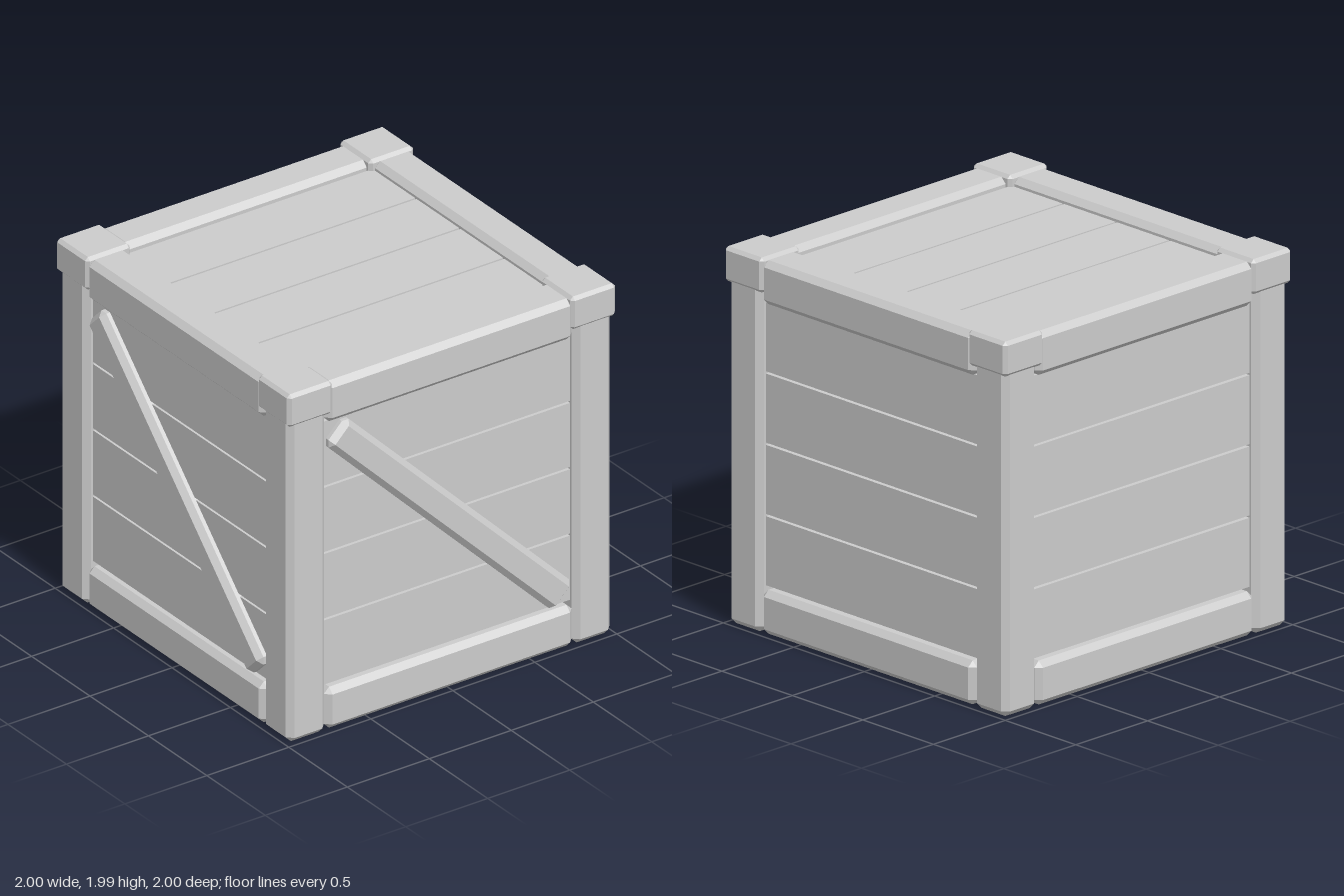
import * as THREE from 'three';
import { ConvexGeometry } from 'three/addons/geometries/ConvexGeometry.js';

const material = new THREE.MeshStandardMaterial({ color: 0xcccccc, flatShading: true });

const HALF = 0.987;   // outer face of posts and rails
const INNER = 0.755;  // inner face of posts and rails
const MID_Y = 0.9875; // middle height of the frame
const BEAM = HALF - INNER;
const BEAM_CENTRE = (HALF + INNER) / 2;

// Box with flat chamfers on every edge
function beam(name, w, h, d, bevel, x, y, z) {
  const half = [w / 2, h / 2, d / 2];
  const points = [];
  for (const sx of [-1, 1]) for (const sy of [-1, 1]) for (const sz of [-1, 1]) {
    for (let full = 0; full < 3; full++) {
      const p = [sx, sy, sz].map((s, i) => s * (half[i] - (i === full ? 0 : bevel)));
      points.push(new THREE.Vector3(...p));
    }
  }
  const mesh = new THREE.Mesh(new ConvexGeometry(points), material);
  mesh.name = name;
  mesh.position.set(x, y, z);
  return mesh;
}

// Four parallel boards with narrow gaps, lying in the XY plane and facing +z
function boards(name) {
  const group = new THREE.Group();
  group.name = name;
  const pitch = 0.3765, gap = 0.012;
  for (let i = 0; i < 4; i++) {
    const board = new THREE.Mesh(new THREE.BoxGeometry(INNER * 2, pitch - gap, 0.05), material);
    board.name = 'plank';
    board.position.set(0, (i - 1.5) * pitch, 0);
    group.add(board);
  }
  return group;
}

// One side of the crate: planks, two rails and an optional diagonal brace
function createSide(name, braced) {
  const side = new THREE.Group();
  side.name = name;
  const planks = boards('sidePlanks');
  planks.position.set(0, MID_Y + 0.007, 0.918);
  side.add(planks);
  for (const [label, y] of [['bottomRail', BEAM / 2 + 0.003], ['topRail', 1.975 - BEAM / 2]]) {
    side.add(beam(label, INNER * 2, BEAM, BEAM, 0.031, 0, y, BEAM_CENTRE));
  }
  if (braced) {
    const brace = beam('diagonalBrace', 1.96, 0.175, 0.12, 0.03, 0, 0.99, 0.935);
    brace.rotation.z = -Math.PI / 4;
    side.add(brace);
  }
  return side;
}

export function createModel() {
  const crate = new THREE.Group();
  crate.name = 'crate';

  // Four sides, with braces on the front and left only
  ['frontSide', 'leftSide', 'backSide', 'rightSide'].forEach((name, i) => {
    const side = createSide(name, i < 2);
    side.rotation.y = i * Math.PI / 2;
    crate.add(side);
  });

  // Corner posts and the caps on top of them
  for (const sx of [-1, 1]) for (const sz of [-1, 1]) {
    crate.add(beam('cornerPost', BEAM, 1.96, BEAM, 0.032, sx * BEAM_CENTRE, 0.98, sz * BEAM_CENTRE));
    crate.add(beam('cornerCap', 0.273, 0.185, 0.273, 0.018, sx * 0.8635, 1.8975, sz * 0.8635));
  }

  // Lid planks running front to back; the underside stays open
  const lid = boards('lidPlanks');
  lid.rotation.set(-Math.PI / 2, 0, Math.PI / 2);
  lid.position.y = 1.905;
  crate.add(lid);

  return crate;
}
